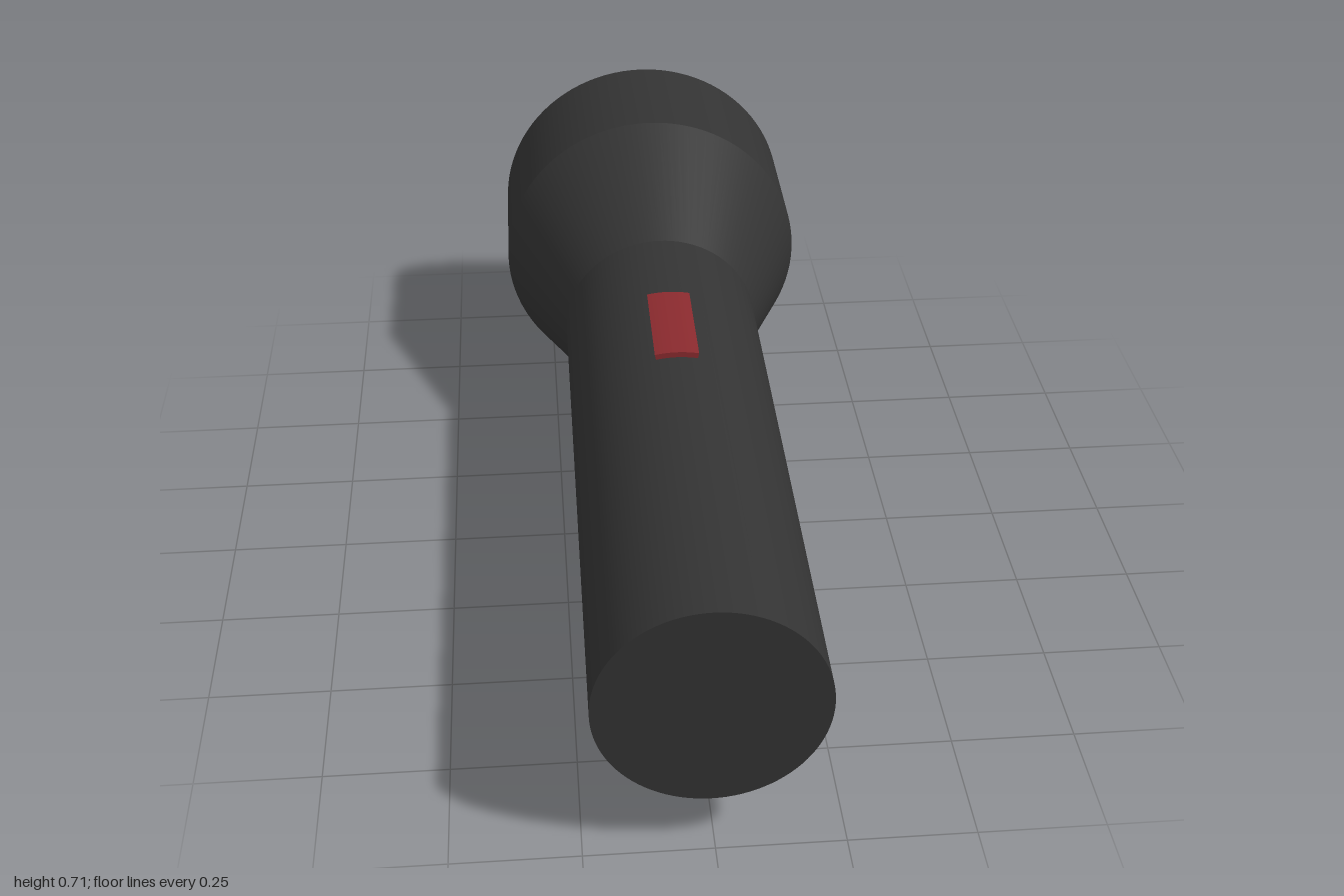
import * as THREE from 'three';
import { toCreasedNormals } from 'three/addons/utils/BufferGeometryUtils.js';

const SEGMENTS = 96;
const BODY_R = 0.221, HEAD_R = 0.356, RIM_R = 0.31, HALF = 0.998;

function part(name, geometry, color) {
  const mesh = new THREE.Mesh(geometry, new THREE.MeshStandardMaterial({ color }));
  mesh.name = name;
  return mesh;
}

export function createModel() {
  const model = new THREE.Group();
  model.name = 'flashlight';
  const torch = new THREE.Group();
  torch.name = 'torch';
  model.add(torch);

  // Barrel, flared head, rim and recess wall in one turned profile (radius, distance to the back)
  const profile = [
    [BODY_R, -HALF], [BODY_R, 0.335], [HEAD_R, 0.68],
    [HEAD_R, HALF], [RIM_R, HALF], [RIM_R, 0.885],
  ].map(([r, y]) => new THREE.Vector2(r, y));
  const shell = new THREE.LatheGeometry(profile, SEGMENTS).rotateX(-Math.PI / 2);
  torch.add(part('housing', toCreasedNormals(shell, 0.3), 0x333333));

  // Flat tail end
  const tail = part('tailCap', new THREE.CircleGeometry(BODY_R, SEGMENTS), 0x333333);
  tail.position.z = HALF;
  torch.add(tail);

  // Lens disc set back inside the rim, facing -z
  const lens = part('lens', new THREE.CircleGeometry(RIM_R, SEGMENTS).rotateY(Math.PI), 0xb8621f);
  lens.position.z = -0.887;
  torch.add(lens);

  // Switch: a thin curved plate that follows the barrel
  const half = 0.2, mid = Math.PI / 2;
  const plate = new THREE.Shape();
  plate.absarc(0, 0, 0.233, mid - half, mid + half, false);
  plate.absarc(0, 0, 0.21, mid + half, mid - half, true);
  const button = new THREE.ExtrudeGeometry(plate, { depth: 0.25, bevelEnabled: false, curveSegments: 12 });
  const toggle = part('switch', toCreasedNormals(button, 0.5), 0x8a2a2e);
  toggle.position.z = -0.08;
  torch.add(toggle);

  // The axis leans very slightly down and to one side
  torch.rotation.set(0.005, -0.005, 0);
  torch.position.set(-0.004, 0.354, 0);
  return model;
}
